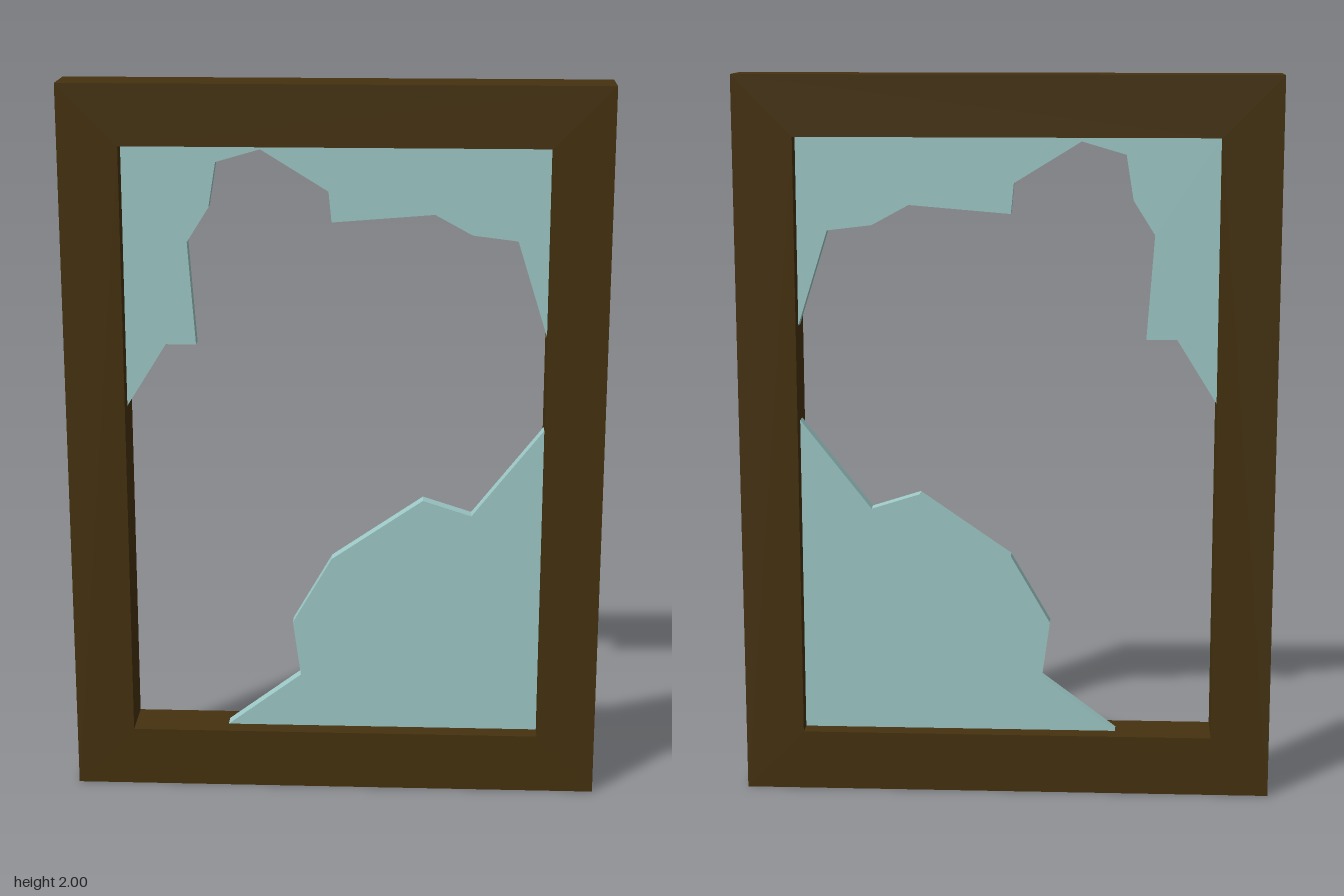
import * as THREE from 'three';

const W = 0.735, H = 2, D = 0.14;            // frame half width, height, depth
const IN = 0.573, BOTTOM = 0.167, TOP = 1.835; // opening
const TUCK = 0.012;                           // glass held inside the frame
const GLASS = 0.04;

const shapeOf = (pts) => new THREE.Shape(pts.map(([x, y]) => new THREE.Vector2(x, y)));

// Extrude an outline, centred on z = 0
function slab(name, shape, depth, material) {
  const geometry = new THREE.ExtrudeGeometry(shape, { depth, bevelEnabled: false });
  geometry.translate(0, 0, -depth / 2);
  const mesh = new THREE.Mesh(geometry, material);
  mesh.name = name;
  return mesh;
}

export function createModel() {
  const group = new THREE.Group();
  group.name = 'brokenWindow';
  const wood = new THREE.MeshStandardMaterial({ color: 0x45320f });
  const glass = new THREE.MeshStandardMaterial({ color: 0x9ecac8 });

  // Wooden frame with a rectangular opening
  const outline = shapeOf([[-W, 0], [W, 0], [W, H], [-W, H]]);
  outline.holes.push(shapeOf([[-IN, BOTTOM], [-IN, TOP], [IN, TOP], [IN, BOTTOM]]));
  group.add(slab('frame', outline, D, wood));

  // Jagged glass left along the top and upper sides
  const L = -IN - TUCK, R = IN + TUCK;
  group.add(slab('upperGlass', shapeOf([
    [L, TOP + TUCK], [L, 1.092], [-0.463, 1.287], [-0.38, 1.287], [-0.4, 1.57],
    [-0.34, 1.665], [-0.32, 1.787], [-0.2, 1.822], [-0.018, 1.71], [-0.01, 1.627],
    [0.267, 1.65], [0.368, 1.595], [0.49, 1.58], [R, 1.28], [R, TOP + TUCK],
  ]), GLASS, glass));

  // Jagged glass left in the lower corner
  group.add(slab('lowerGlass', shapeOf([
    [R, BOTTOM - TUCK], [R, 1.07], [0.378, 0.805], [0.243, 0.848], [-0.01, 0.673],
    [-0.12, 0.482], [-0.098, 0.323], [-0.322, BOTTOM - TUCK],
  ]), GLASS, glass));

  return group;
}
